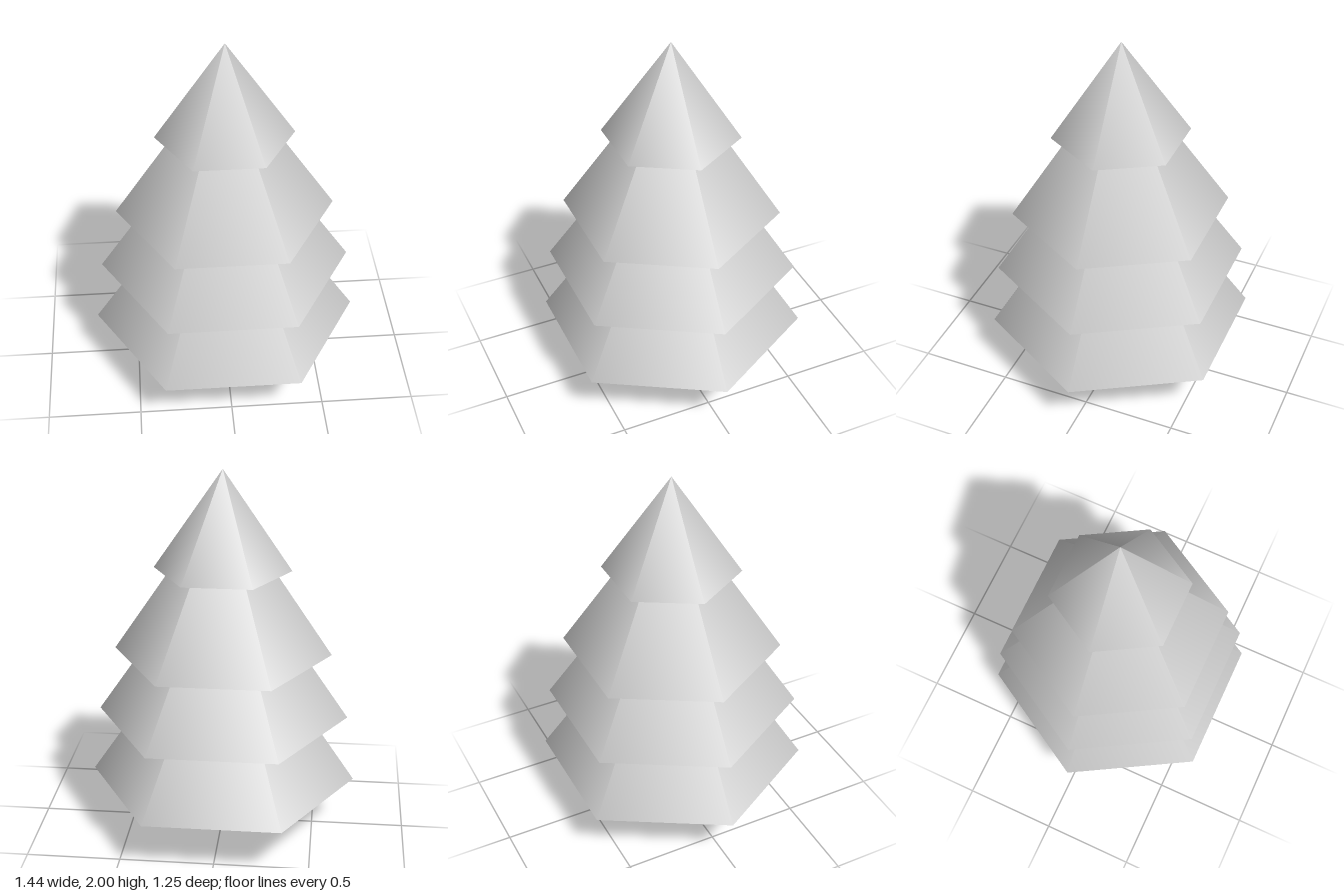
import * as THREE from 'three';

const SIDES = 6;
const CORNER = Math.PI / 6; // puts two corners of each hexagon on the x axis

export function createModel() {
  const tree = new THREE.Group();
  tree.name = 'pineTree';
  const material = new THREE.MeshStandardMaterial({ color: 0xcccccc });

  // Foliage: overlapping six-sided cones [radius, base height, tip height]
  const tiers = [
    [0.72, 0.28, 1.345],
    [0.675, 0.65, 1.64],
    [0.58, 1.01, 1.87],
    [0.362, 1.47, 2.0],
  ];
  tiers.forEach(([radius, base, tip], i) => {
    const cone = new THREE.ConeGeometry(radius, tip - base, SIDES, 1, false, CORNER);
    cone.translate(0, (base + tip) / 2, 0);
    const tier = new THREE.Mesh(cone, material);
    tier.name = `foliageTier${i + 1}`;
    tree.add(tier);
  });

  // Trunk: tapered and leaning slightly, ending just inside the lowest tier
  const height = 0.34;
  const trunkGeometry = new THREE.CylinderGeometry(0.066, 0.083, height, SIDES, 1, false, CORNER);
  trunkGeometry.translate(0, height / 2, 0);
  const p = trunkGeometry.attributes.position;
  for (let i = 0; i < p.count; i++) {
    const t = p.getY(i) / height;
    p.setX(i, p.getX(i) + 0.008 * t);
    p.setZ(i, p.getZ(i) + 0.006 * t);
  }
  trunkGeometry.computeBoundingSphere();
  const trunk = new THREE.Mesh(trunkGeometry, material);
  trunk.name = 'trunk';
  tree.add(trunk);

  return tree;
}
